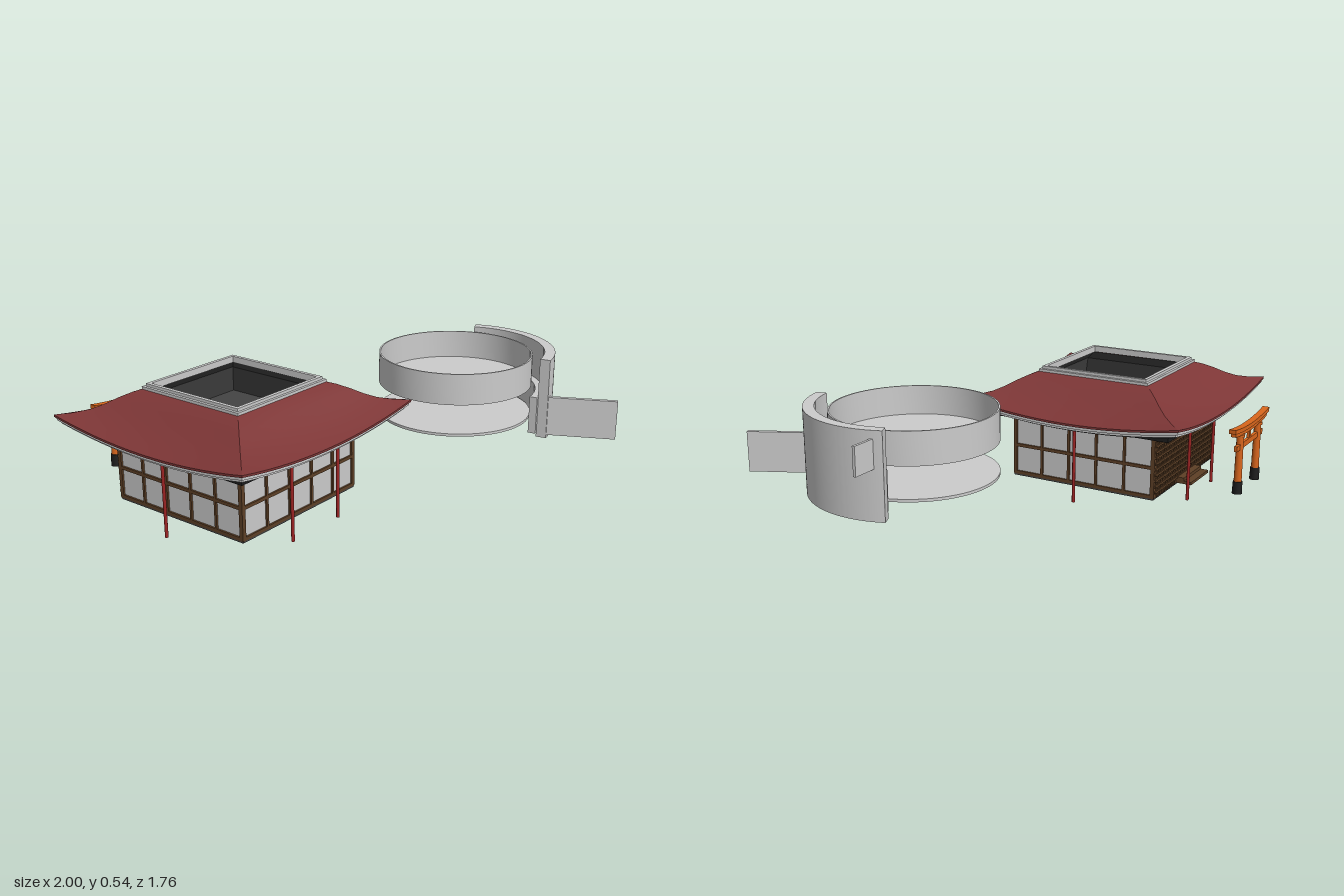
import * as THREE from 'three';
import { toCreasedNormals } from 'three/addons/utils/BufferGeometryUtils.js';

const mat = (color, side = THREE.FrontSide) => new THREE.MeshStandardMaterial({ color, side });
const GREY = mat(0xcccccc), GREY2 = mat(0xcccccc, THREE.DoubleSide), RED = mat(0x7d3636, THREE.DoubleSide);
const POLE = mat(0x9c2222), WOOD = mat(0x5e4026), ORANGE = mat(0xd9661c);
const BLACK = mat(0x1c1c1c), DARK = mat(0x444444, THREE.DoubleSide), TAN = mat(0xd8c79a);

function add(parent, name, geo, material, x = 0, y = 0, z = 0) {
  const m = new THREE.Mesh(geo, material);
  m.name = name;
  m.position.set(x, y, z);
  parent.add(m);
  return m;
}
function box(parent, name, material, w, h, d, x, y, z) {
  return add(parent, name, new THREE.BoxGeometry(w, h, d), material, x, y, z);
}
function group(parent, name, x = 0, y = 0, z = 0) {
  const g = new THREE.Group();
  g.name = name;
  g.position.set(x, y, z);
  parent.add(g);
  return g;
}

// Square loft: rows are [half width, height at mid side, extra height at the corners]
function squareLoft(rows, n = 16) {
  const pos = [], idx = [], v = new THREE.Vector3(), up = new THREE.Vector3(0, 1, 0);
  for (let s = 0; s < 4; s++) {
    const base = pos.length / 3;
    rows.forEach(([h, y, lift]) => {
      for (let j = 0; j <= n; j++) {
        const t = (2 * j) / n - 1;
        v.set(t * h, y + lift * t * t, h).applyAxisAngle(up, (s * Math.PI) / 2);
        pos.push(v.x, v.y, v.z);
      }
    });
    for (let i = 0; i < rows.length - 1; i++) for (let j = 0; j < n; j++) {
      const a = base + i * (n + 1) + j, b = a + n + 1;
      idx.push(a, b, b + 1, a, b + 1, a + 1);
    }
  }
  const g = new THREE.BufferGeometry();
  g.setAttribute('position', new THREE.Float32BufferAttribute(pos, 3));
  g.setIndex(idx);
  return toCreasedNormals(g, 0.5);
}
// Square ring lying flat
function squareRing(h, w, y0, y1) {
  const i = h - w;
  return squareLoft([[i, y1, 0], [h, y1, 0], [h, y0, 0], [i, y0, 0], [i, y1, 0]], 1);
}
// Curved wall; angles run from +x towards +z
function arcWall(r0, r1, a0, a1, y0, y1) {
  const s = new THREE.Shape();
  s.absarc(0, 0, r1, a0, a1, false);
  s.absarc(0, 0, r0, a1, a0, true);
  s.closePath();
  const g = new THREE.ExtrudeGeometry(s, { depth: y1 - y0, bevelEnabled: false, curveSegments: 40 });
  g.rotateX(Math.PI / 2).translate(0, y1, 0);
  return toCreasedNormals(g, 0.5);
}

function buildHouse(root) {
  const house = group(root, 'house', -0.49, 0, -0.241);
  const H = 0.34, Y0 = 0.055, Y1 = 0.335, YM = (Y0 + Y1) / 2;

  // Body, floor and ceiling
  box(house, 'wallPanels', GREY, 2 * H - 0.01, Y1 - Y0, 2 * H - 0.01, 0, YM, 0);
  box(house, 'floorSlab', DARK, 2 * H, 0.012, 2 * H, 0, 0.051, 0);
  box(house, 'ceiling', DARK, 2 * H, 0.012, 2 * H, 0, 0.332, 0);
  box(house, 'ceilingPanel', TAN, 0.1, 0.008, 0.02, 0.185, 0.341, 0.222);

  // Timber frame: five bays and three rails per side, fine lattice on the back
  for (let s = 0; s < 4; s++) {
    const side = group(house, 'wallFrame');
    side.rotation.y = (s * Math.PI) / 2;
    for (let i = 0; i <= 5; i++) box(side, 'stud', WOOD, i % 5 ? 0.011 : 0.018, Y1 - Y0, 0.014, (i / 5 * 2 - 1) * (H - 0.006), YM, H - 0.004);
    for (const y of [Y0 + 0.005, 0.188, Y1 - 0.005]) box(side, 'rail', WOOD, 2 * H, 0.014, 0.014, 0, y, H - 0.004);
    if (s === 2) {
      for (let i = 1; i < 25; i++) box(side, 'latticeUpright', WOOD, 0.009, Y1 - Y0, 0.01, (i / 25 * 2 - 1) * H, YM, H + 0.002);
      for (let i = 1; i < 11; i++) box(side, 'latticeBar', WOOD, 2 * H, 0.009, 0.01, 0, Y0 + (i / 11) * (Y1 - Y0), H + 0.004);
      box(side, 'upperStep', WOOD, 0.2, 0.022, 0.04, 0, 0.071, H + 0.02);
      box(side, 'lowerStep', WOOD, 0.2, 0.013, 0.075, 0, 0.061, H + 0.037);
    }
  }

  // Red poles: two at front and back, one at each side
  const P = 0.415;
  for (const [x, z] of [[-0.14, P], [0.14, P], [-0.14, -P], [0.14, -P], [-P, 0], [P, 0]])
    add(house, 'pole', new THREE.CylinderGeometry(0.007, 0.007, 0.36, 12), POLE, x, 0.18, z);

  // Roof: red skin, grey eave layer, dark soffit with inner lining
  add(house, 'roofSkin', squareLoft([[0.256, 0.52, 0], [0.29, 0.505, 0.002], [0.33, 0.476, 0.01], [0.37, 0.447, 0.014],
    [0.41, 0.422, 0.02], [0.46, 0.396, 0.034], [0.511, 0.378, 0.047], [0.511, 0.369, 0.047], [0.48, 0.37, 0.04]]), RED);
  add(house, 'eaveLayer', squareLoft([[0.504, 0.37, 0.045], [0.504, 0.357, 0.045], [0.492, 0.357, 0.042],
    [0.492, 0.346, 0.042], [0.45, 0.346, 0.035]]), GREY2);
  add(house, 'soffit', squareLoft([[0.472, 0.353, 0.038], [0.472, 0.338, 0.038], [0.42, 0.338, 0.022],
    [0.34, 0.337, 0], [0.31, 0.46, 0], [0.245, 0.51, 0]]), DARK);
  add(house, 'bracketRing', squareRing(0.44, 0.05, 0.343, 0.37), BLACK);
  add(house, 'topFrameLower', squareRing(0.262, 0.028, 0.513, 0.529), GREY);
  add(house, 'topFrameUpper', squareRing(0.25, 0.016, 0.527, 0.541), GREY);
}

function buildGate(root) {
  const gate = group(root, 'gate', -0.505, 0, -0.863);
  for (const x of [-0.11, 0.11]) {
    add(gate, 'gateFoot', new THREE.CylinderGeometry(0.02, 0.022, 0.055, 16), BLACK, x, 0.083, 0);
    add(gate, 'gatePost', new THREE.CylinderGeometry(0.015, 0.017, 0.21, 16), ORANGE, x, 0.21, 0);
    add(gate, 'gateCollar', new THREE.CylinderGeometry(0.02, 0.02, 0.012, 16), ORANGE, x, 0.314, 0);
  }
  box(gate, 'lowerBeam', ORANGE, 0.32, 0.024, 0.014, 0, 0.265, 0);
  box(gate, 'beamStrut', ORANGE, 0.02, 0.05, 0.012, 0, 0.295, 0);
  // Two top beams whose ends sweep upwards
  for (const [name, w, h, d, y] of [['middleBeam', 0.39, 0.018, 0.022, 0.322], ['topBeam', 0.425, 0.018, 0.03, 0.338]]) {
    const g = new THREE.BoxGeometry(w, h, d, 16, 1, 1), p = g.attributes.position;
    for (let i = 0; i < p.count; i++) p.setY(i, p.getY(i) + 0.016 * (p.getX(i) / 0.21) ** 2);
    g.computeVertexNormals();
    add(gate, name, g, ORANGE, 0, y, 0);
  }
}

function buildDrum(root) {
  const drum = group(root, 'drum', 0.495, 0, 0.179);
  // Shallow open dish above a thin disc
  const profile = [[0, 0.368], [0.342, 0.368], [0.342, 0.505], [0.335, 0.505], [0.335, 0.38], [0, 0.38]]
    .map(([r, y]) => new THREE.Vector2(r, y));
  add(drum, 'dish', toCreasedNormals(new THREE.LatheGeometry(profile, 64), 0.5), GREY2);
  add(drum, 'baseDisc', new THREE.CylinderGeometry(0.342, 0.342, 0.012, 64), GREY, 0, 0.232, 0);

  // Curved shield with a lower inner band
  const shield = group(root, 'shield', 0.5, 0, 0.205);
  add(shield, 'shieldWall', arcWall(0.368, 0.414, -0.4, 1.4, 0.167, 0.524), GREY);
  add(shield, 'shieldInnerBand', arcWall(0.335, 0.37, -0.38, 1.44, 0.185, 0.352), GREY);

  // Flat plates standing out from the shield ends
  box(root, 'upperPlate', GREY, 0.12, 0.117, 0.012, 0.94, 0.433, 0.084);
  const plate = box(root, 'lowerPlate', GREY, 0.31, 0.174, 0.02, 0.647, 0.268, 0.735);
  plate.rotation.y = -Math.atan2(0.265, 0.13);
}

export function createModel() {
  const root = new THREE.Group();
  root.name = 'model';
  buildHouse(root);
  buildGate(root);
  buildDrum(root);
  return root;
}
